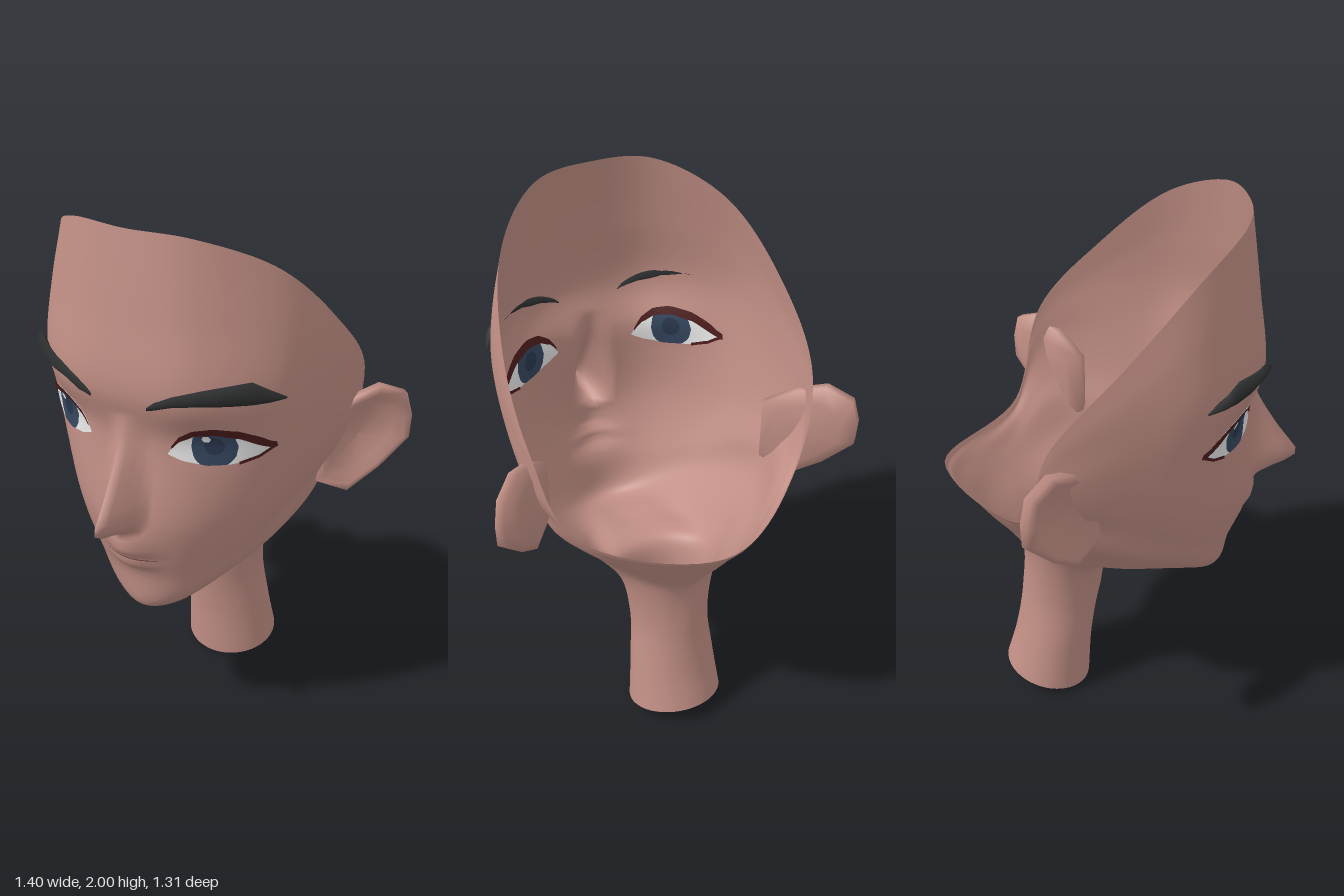
import * as THREE from 'three';

const paint = (name, color) => {
  const m = new THREE.MeshStandardMaterial({ color, side: THREE.DoubleSide });
  m.name = name;
  return m;
};
const V = (x, y, z) => new THREE.Vector3(x, y, z);

// Surface through rows of points; closed rows wrap around.
function grid(rows, closed) {
  const n = rows[0].length, index = [], cols = closed ? n : n - 1;
  for (let i = 0; i < rows.length - 1; i++) {
    for (let j = 0; j < cols; j++) {
      const k = (j + 1) % n, a = i * n + j, b = i * n + k, c = a + n, d = b + n;
      index.push(a, b, d, a, d, c);
    }
  }
  const g = new THREE.BufferGeometry().setFromPoints(rows.flat());
  g.setIndex(index);
  g.computeVertexNormals();
  return g;
}

// Piecewise linear lookup in a list of [key, value].
function along(points, x) {
  if (x <= points[0][0]) return points[0][1];
  for (let i = 1; i < points.length; i++) {
    const [x0, y0] = points[i - 1], [x1, y1] = points[i];
    if (x <= x1) return y0 + (y1 - y0) * (x - x0) / (x1 - x0);
  }
  return points[points.length - 1][1];
}

// Elliptical half ring of the neck, from front middle to back middle.
function neckRing(yFront, yBack, zFront, zBack, w) {
  return Array.from({ length: 7 }, (_, k) => {
    const a = k * Math.PI / 6, t = (1 - Math.cos(a)) / 2;
    return [w * Math.sin(a), yFront + (yBack - yFront) * t, zFront + (zBack - zFront) * t];
  });
}

// Half rings [x, y, z] from the front middle round the left side to the back middle.
const neckRings = [
  neckRing(0, 0.08, -0.14, -0.47, 0.182),
  neckRing(0.22, 0.22, -0.125, -0.43, 0.165),
  neckRing(0.43, 0.43, -0.09, -0.395, 0.15),
  neckRing(0.605, 0.65, -0.04, -0.39, 0.185),
];
const jawRings = [
  [[0, 0.585, 0.17], [0.1, 0.6, 0.15], [0.2, 0.63, 0.05], [0.26, 0.7, -0.08], [0.27, 0.76, -0.22], [0.16, 0.75, -0.37], [0, 0.74, -0.45]],
  [[0, 0.54, 0.37], [0.11, 0.565, 0.33], [0.27, 0.69, 0.19], [0.385, 0.82, 0], [0.4, 0.89, -0.2], [0.24, 0.86, -0.41], [0, 0.83, -0.52]],
  [[0, 0.7, 0.41], [0.16, 0.72, 0.37], [0.34, 0.83, 0.19], [0.425, 0.95, 0], [0.45, 1.02, -0.22], [0.3, 0.92, -0.41], [0, 0.9, -0.57]],
  [[0, 0.93, 0.475], [0.2, 0.95, 0.42], [0.405, 1, 0.2], [0.475, 1.08, 0], [0.49, 1.1, -0.24], [0.35, 0.97, -0.405], [0, 0.95, -0.61]],
];
const skullRings = [
  [[0, 1.28, 0.45], [0.22, 1.28, 0.415], [0.45, 1.28, 0.23], [0.515, 1.27, 0], [0.52, 1.2, -0.27], [0.39, 1, -0.4], [0, 0.985, -0.635]],
  [[0, 1.46, 0.492], [0.24, 1.46, 0.458], [0.465, 1.47, 0.25], [0.53, 1.42, 0], [0.53, 1.29, -0.28], [0.405, 1.02, -0.395], [0, 1, -0.65]],
  [[0, 1.72, 0.468], [0.24, 1.72, 0.42], [0.455, 1.68, 0.22], [0.535, 1.53, -0.02], [0.535, 1.34, -0.28], [0.415, 1.03, -0.39], [0, 1.01, -0.655]],
  [[0, 2, 0.43], [0.22, 1.99, 0.385], [0.42, 1.88, 0.2], [0.525, 1.65, -0.04], [0.537, 1.38, -0.28], [0.42, 1.04, -0.39], [0, 1.02, -0.66]],
];

// Nose and lips pushed forward out of the smooth face.
const noseOut = [[0.9, 0], [0.935, 0.06], [0.965, 0.165], [1, 0.188], [1.12, 0.115], [1.25, 0.05], [1.37, 0]];
const noseWidth = [[0.9, 0.07], [1, 0.085], [1.35, 0.06]];
const lipsOut = [[0.71, 0], [0.74, 0.005], [0.77, 0.03], [0.785, 0.025], [0.8, 0.008], [0.825, 0.042], [0.88, 0.036], [0.93, 0.015], [1, 0]];
function sculpt(p) {
  if (p.z < 0.2) return p;
  const x = Math.abs(p.x);
  const nose = Math.pow(Math.max(0, 1 - x / along(noseWidth, p.y)), 1.1) * along(noseOut, p.y);
  const lips = Math.exp(-Math.pow(x / 0.085, 2)) * along(lipsOut, p.y);
  const socket = 0.015 * Math.exp(-Math.pow((x - 0.27) / 0.11, 2) - Math.pow((p.y - 1.3) / 0.07, 2));
  p.z += Math.max(nose, lips) - socket;
  return p;
}

function headGeometry() {
  const around = 120, sub = 12;
  const loops = [...neckRings, ...jawRings, ...skullRings].map(half => {
    const left = half.map(p => V(...p));
    const right = left.slice(1, -1).reverse().map(p => V(-p.x, p.y, p.z));
    const curve = new THREE.CatmullRomCurve3([...left, ...right], true);
    return Array.from({ length: around }, (_, j) => curve.getPoint(j / around));
  });
  const columns = loops[0].map((_, j) => new THREE.CatmullRomCurve3(loops.map(l => l[j])));
  const steps = (loops.length - 1) * sub;
  const rows = Array.from({ length: steps + 1 }, (_, i) => columns.map(c => sculpt(c.getPoint(i / steps))));
  return grid(rows, true);
}

// Ear: one outline scaled into a back, a rim and a hollow front.
function earGeometry() {
  const outline = [[-0.02, 0.96], [0.1, 0.905], [0.22, 0.99], [0.33, 1.1], [0.335, 1.19], [0.31, 1.28], [0.21, 1.32], [0.1, 1.28], [-0.02, 1.2]];
  const layers = [[0.03, -0.04], [0.7, -0.038], [1, -0.015], [1, 0.018], [0.85, 0.026], [0.65, 0], [0.03, -0.01]];
  return grid(layers.map(([k, z]) => outline.map(([x, y]) => V(0.14 + (x - 0.14) * k, 1.12 + (y - 1.12) * k, z))), true);
}

// Eyebrow: diamond sections [x, low, high, z] swept from inner to outer end.
function browGeometry() {
  const stations = [[0.11, 1.418, 1.43, 0.492], [0.14, 1.428, 1.455, 0.492], [0.2, 1.447, 1.485, 0.478], [0.29, 1.458, 1.515, 0.445],
    [0.36, 1.458, 1.53, 0.4], [0.42, 1.456, 1.538, 0.345], [0.46, 1.455, 1.5, 0.295], [0.492, 1.455, 1.462, 0.238]];
  return grid(stations.map(([x, lo, hi, z], i) => {
    const mid = (lo + hi) / 2, t = i === 0 || i === stations.length - 1 ? 0.003 : 0.018;
    const ox = t * x * 1.4;
    return [V(x, hi, z), V(x + ox, mid, z + t), V(x, lo, z), V(x - ox, mid, z - t)];
  }), true);
}

const lidTop = [[0.155, 1.25], [0.19, 1.308], [0.24, 1.342], [0.3, 1.352], [0.37, 1.337], [0.42, 1.305], [0.447, 1.275]];
const lidLow = [[0.155, 1.245], [0.2, 1.225], [0.275, 1.21], [0.35, 1.212], [0.41, 1.237], [0.447, 1.27]];
const lashDepth = [[0.165, 0], [0.2, 0.012], [0.3, 0.02], [0.42, 0.028], [0.452, 0.01]];

export function createModel() {
  const model = new THREE.Group();
  const skin = paint('skin', 0xc18f85), dark = paint('brow black', 0x2e2f30), white = paint('eye white', 0xf0f0f0);
  const blue = paint('iris blue', 0x35465f), maroon = paint('lash maroon', 0x4c1c1c), lip = paint('lip line', 0x85584f);
  const pupilBlue = paint('pupil blue', 0x29374d);
  const add = (parent, name, geometry, material) => {
    const mesh = new THREE.Mesh(geometry, material);
    mesh.name = name;
    parent.add(mesh);
    return mesh;
  };

  const head = add(model, 'headAndNeck', headGeometry(), skin);

  // Thin painted patch between two curves, laid on the face (negative lift: inside).
  const ray = new THREE.Raycaster();
  function patch(x0, x1, low, high, lift, nx = 20, ny = 6) {
    const rows = [];
    for (let i = 0; i <= ny; i++) {
      const row = [];
      for (let j = 0; j <= nx; j++) {
        const x = x0 + (x1 - x0) * j / nx, lo = low(x), y = lo + (Math.max(lo, high(x)) - lo) * i / ny;
        ray.set(V(x, y, 2), V(0, 0, -1));
        const hit = ray.intersectObject(head)[0], n = hit.face.normal.clone();
        if (n.z < 0) n.negate();
        row.push(hit.point.clone().addScaledVector(n, lift));
      }
      rows.push(row);
    }
    return grid(rows, false);
  }
  const top = x => along(lidTop, x), low = x => along(lidLow, x);
  const disc = (cx, cy, rx, ry) => {
    const h = x => ry * Math.sqrt(Math.max(0, 1 - ((x - cx) / rx) ** 2));
    return [cx - rx, cx + rx, x => Math.max(low(x), cy - h(x)), x => Math.min(top(x), cy + h(x))];
  };

  // Eye layers, painted on the outside and the inside of the shell.
  const layers = [
    ['eyeWhite', white, 0.003, [0.155, 0.447, low, top]],
    ['iris', blue, 0.005, disc(0.293, 1.28, 0.067, 0.08)],
    ['pupil', pupilBlue, 0.0062, disc(0.293, 1.285, 0.03, 0.035)],
    ['eyelash', maroon, 0.0075, [0.165, 0.452, x => top(x) - along(lashDepth, x), x => top(x) + 0.01]],
    ['lowerLash', maroon, 0.007, [0.36, 0.45, x => low(x) - 0.006, x => low(x) + 0.006]],
  ].flatMap(([name, mat, lift, args]) => [1, -1].map(s => [name, mat, patch(...args, s * lift)]));

  const ear = earGeometry(), brow = browGeometry();
  for (const side of [1, -1]) {
    const half = new THREE.Group();
    half.name = side > 0 ? 'leftFeatures' : 'rightFeatures';
    half.scale.x = side;
    model.add(half);
    for (const [name, mat, geometry] of layers) add(half, name, geometry, mat);
    add(half, 'eyeHighlight', patch(...disc(side > 0 ? 0.272 : 0.318, 1.315, 0.013, 0.014), 0.0085, 8, 4), white);
    add(half, 'eyebrow', brow, dark);
    const e = add(half, 'ear', ear, skin);
    e.position.set(0.45, 0, -0.14);
    e.rotation.y = Math.PI / 4;
  }

  // Mouth line
  add(model, 'mouthLine', patch(-0.105, 0.105, x => 0.797 + x * x * 0.2, x => 0.804 - x * x * 0.2, 0.003, 24, 2), lip);
  return model;
}
